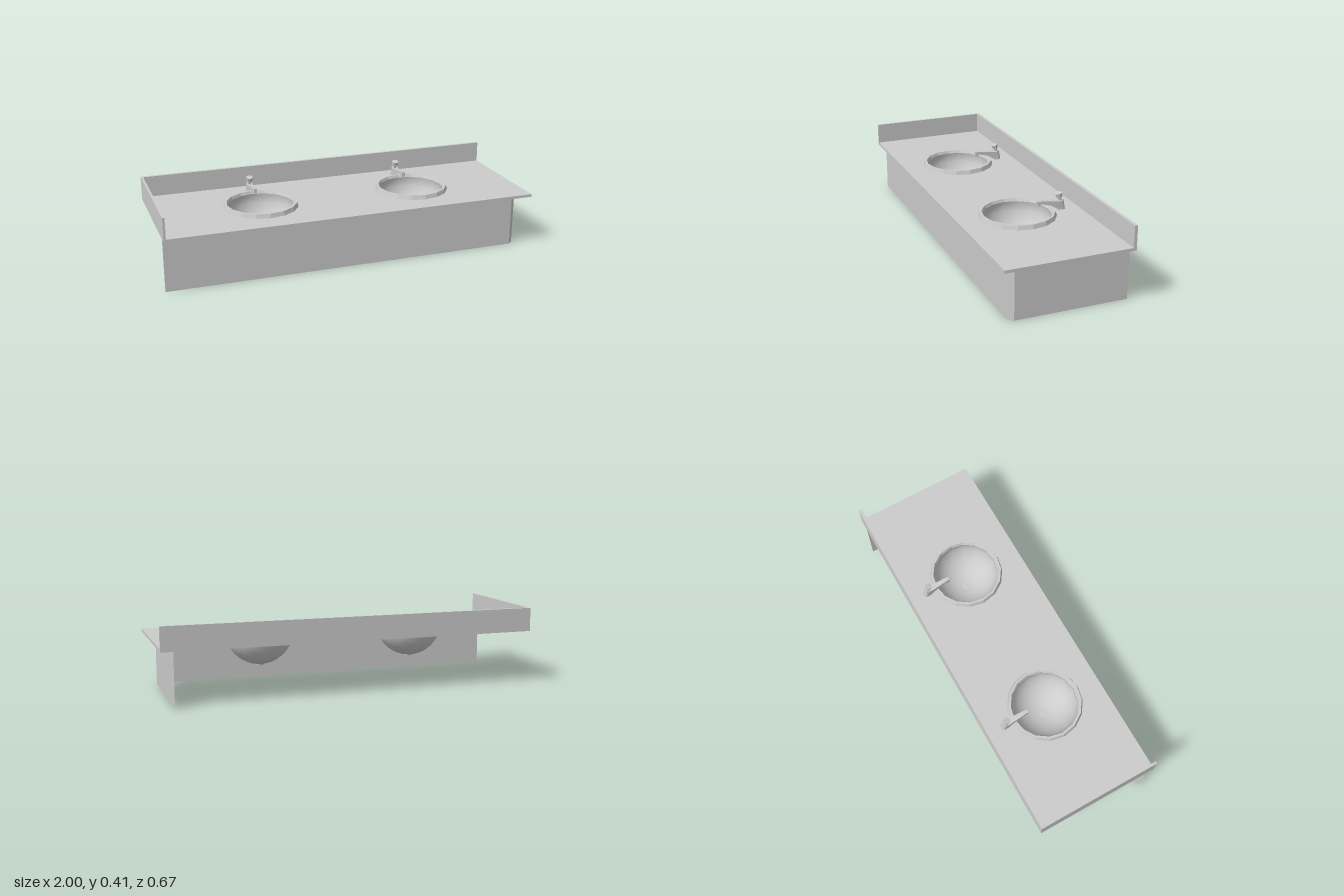
import * as THREE from 'three';

const SIDES = 16;
const TOP = 0.295;      // worktop surface
const UNDER = 0.28;     // worktop underside
const BASINS = [-0.433, 0.423];
const BASIN_Z = 0.02;

const smooth = new THREE.MeshStandardMaterial({ color: 0xcccccc, side: THREE.DoubleSide });
const flat = new THREE.MeshStandardMaterial({ color: 0xcccccc, side: THREE.DoubleSide, flatShading: true });

function add(parent, name, geometry, material = flat) {
  const mesh = new THREE.Mesh(geometry, material);
  mesh.name = name;
  parent.add(mesh);
  return mesh;
}

// Box given by its minimum and maximum corners
function box(parent, name, min, max) {
  const size = max.map((v, i) => v - min[i]);
  const mesh = add(parent, name, new THREE.BoxGeometry(...size));
  mesh.position.set(...max.map((v, i) => (v + min[i]) / 2));
}

const lathe = (points) =>
  new THREE.LatheGeometry(points.map(([r, y]) => new THREE.Vector2(r, y)), SIDES);

// Slab with a round cut-out for each basin
function worktop() {
  const shape = new THREE.Shape();
  shape.moveTo(-1, -0.333).lineTo(1, -0.333).lineTo(1, 0.333).lineTo(-1, 0.333).closePath();
  for (const x of BASINS) {
    const points = [];
    for (let i = 0; i < SIDES; i++) {
      const a = (i / SIDES) * Math.PI * 2;
      points.push(new THREE.Vector2(x + 0.195 * Math.cos(a), -BASIN_Z + 0.195 * Math.sin(a)));
    }
    shape.holes.push(new THREE.Path(points));
  }
  const geometry = new THREE.ExtrudeGeometry(shape, { depth: TOP - UNDER, bevelEnabled: false });
  return geometry.rotateX(-Math.PI / 2).translate(0, UNDER, 0);
}

// Thin apron: front, chamfered corner and one end, open at the back
function apron() {
  const path = [[-1, 0.285], [0.908, 0.285], [0.937, 0.257], [0.937, -0.333]];
  const positions = [];
  for (let i = 0; i < path.length - 1; i++) {
    const [ax, az] = path[i];
    const [bx, bz] = path[i + 1];
    positions.push(ax, 0, az, bx, 0, bz, bx, UNDER, bz);
    positions.push(ax, 0, az, bx, UNDER, bz, ax, UNDER, az);
  }
  const geometry = new THREE.BufferGeometry();
  geometry.setAttribute('position', new THREE.Float32BufferAttribute(positions, 3));
  geometry.computeVertexNormals();
  return geometry;
}

function basin() {
  const group = new THREE.Group();
  group.name = 'basin';
  add(group, 'basinRim', lathe([[0.199, TOP], [0.192, 0.317], [0.18, 0.317], [0.173, 0.302]]));
  // Rounded bowl hanging under the worktop
  const profile = [];
  for (let i = 0; i <= 10; i++) {
    const a = 0.13 + (i / 10) * (Math.PI / 2 - 0.13);
    profile.push([0.18 * Math.sin(a), 0.302 - 0.177 * Math.cos(a)]);
  }
  profile[10][0] = 0.173;
  add(group, 'bowl', lathe(profile), smooth);
  const drain = add(group, 'drain', new THREE.CylinderGeometry(0.025, 0.022, 0.012, SIDES));
  drain.position.y = 0.126;
  return group;
}

// Spout: side outline given as [z, y], narrowing towards the tip
function spout() {
  const outline = [[-0.086, 0.352], [-0.086, 0.327], [-0.103, 0.327], [-0.106, 0.337],
    [-0.158, 0.324], [-0.207, TOP], [-0.225, TOP], [-0.22, 0.343], [-0.203, 0.341], [-0.103, 0.352]];
  const shape = new THREE.Shape(outline.map(([z, y]) => new THREE.Vector2(z, y)));
  const geometry = new THREE.ExtrudeGeometry(shape, { depth: 2, bevelEnabled: false });
  geometry.translate(0, 0, -1).rotateY(-Math.PI / 2);
  const p = geometry.attributes.position;
  for (let i = 0; i < p.count; i++) {
    const t = THREE.MathUtils.clamp((-0.086 - p.getZ(i)) / 0.12, 0, 1);
    p.setX(i, p.getX(i) * THREE.MathUtils.lerp(0.009, 0.017, t));
  }
  geometry.computeVertexNormals();
  return geometry;
}

function tap() {
  const group = new THREE.Group();
  group.name = 'tap';
  add(group, 'spout', spout());
  // Leaning body: a tapered column sheared forwards
  const body = new THREE.CylinderGeometry(0.016, 0.019, 0.05, 12);
  const p = body.attributes.position;
  for (let i = 0; i < p.count; i++) {
    const y = p.getY(i);
    const z = p.getZ(i);
    p.setXYZ(i, p.getX(i), y - (y > 0 ? z * 0.2 : 0), z + y * 0.14);
  }
  body.computeVertexNormals();
  add(group, 'tapBody', body).position.set(0, TOP + 0.025, -0.2215);
  // Push knob on a short neck
  const handle = new THREE.Group();
  handle.name = 'tapHandle';
  handle.position.set(0, 0.343, -0.217);
  handle.rotation.x = 0.25;
  group.add(handle);
  add(handle, 'neck', new THREE.CylinderGeometry(0.011, 0.01, 0.024, 8)).position.y = 0.01;
  add(handle, 'knob', new THREE.CylinderGeometry(0.019, 0.017, 0.02, 8)).position.y = 0.0295;
  return group;
}

export function createModel() {
  const model = new THREE.Group();
  model.name = 'washstand';
  add(model, 'worktop', worktop());
  add(model, 'apron', apron());
  box(model, 'backSplash', [-1, UNDER, -0.333], [1, 0.407, -0.317]);
  box(model, 'sideSplash', [-1, UNDER, -0.317], [-0.988, 0.407, 0.333]);
  for (const x of BASINS) {
    const bowl = basin();
    bowl.position.set(x, 0, BASIN_Z);
    const faucet = tap();
    faucet.position.x = x;
    model.add(bowl, faucet);
  }
  return model;
}
